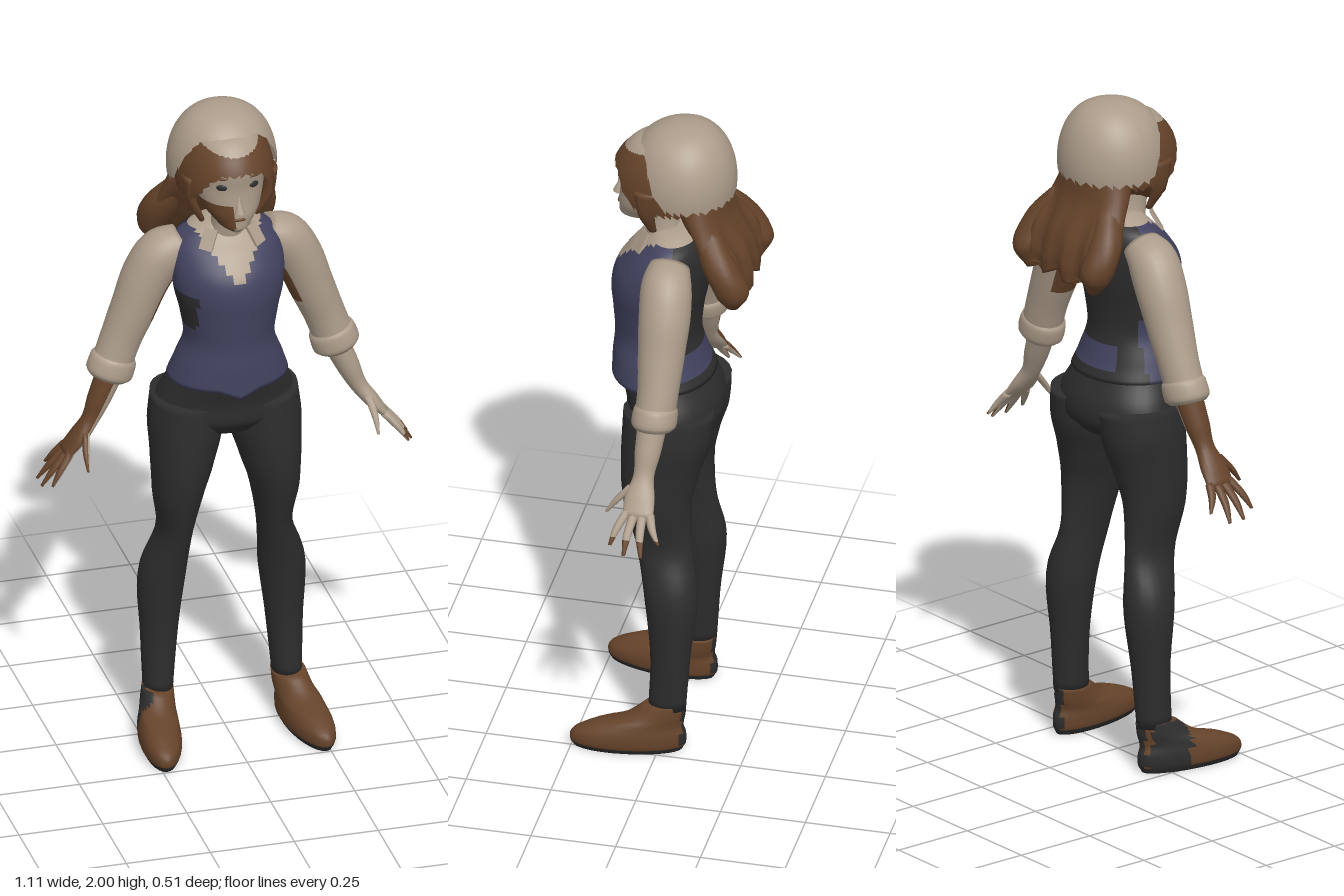
import * as THREE from 'three';

const mat = (name, color, side = THREE.FrontSide) => {
  const m = new THREE.MeshStandardMaterial({ color, side });
  m.name = name;
  return m;
};

export function createModel() {
  const tan = mat('tan', 0xad9d8b, THREE.DoubleSide);
  const brown = mat('brown', 0x65432a, THREE.DoubleSide);
  const navy = mat('navy', 0x42425f);
  const charcoal = mat('charcoal', 0x2d2d2e);
  const MATS = [tan, brown, navy, charcoal];
  const TAN = 0, BROWN = 1, NAVY = 2, CHAR = 3;
  const model = new THREE.Group();
  model.name = 'figure';

  const add = (name, geometry, material, parent = model) => {
    const m = new THREE.Mesh(geometry, material);
    m.name = name;
    parent.add(m);
    return m;
  };

  // Skin through elliptical sections [x, y, z, radius across, radius in z].
  // paint is a material index, or a rule (centre, cos of angle) => index.
  function loft(name, keys, paint, { rows = 24, cols = 24, parent = model, warp, side = 1 } = {}) {
    const path = new THREE.CatmullRomCurve3(keys.map(k => new THREE.Vector3(k[0] * side, k[1], k[2])), false, 'centripetal');
    const size = new THREE.CatmullRomCurve3(keys.map((k, i) => new THREE.Vector3(k[3], k[4], i * 0.05)), false, 'catmullrom', 0.4);
    const pts = [];
    for (let i = 0; i <= rows; i++) {
      const c = path.getPoint(i / rows), t = path.getTangent(i / rows), r = size.getPoint(i / rows);
      const u = new THREE.Vector3(t.y, -t.x, 0).normalize();
      for (let j = 0; j < cols; j++) {
        const a = (j / cols) * Math.PI * 2;
        const p = c.clone().addScaledVector(u, Math.cos(a) * r.x);
        p.z += Math.sin(a) * r.y;
        pts.push(p);
      }
    }
    const ends = [path.getPoint(0), path.getPoint(1)];
    pts.push(...ends);
    if (warp) pts.forEach(warp);
    const buckets = MATS.map(() => []);
    const face = (ids, j) => {
      const c = new THREE.Vector3();
      ids.forEach(i => c.addScaledVector(pts[i], 1 / ids.length));
      const k = typeof paint === 'function' ? paint(c, Math.cos(((j + 0.5) / cols) * Math.PI * 2)) : paint;
      buckets[k].push(ids[0], ids[1], ids[2]);
      if (ids.length === 4) buckets[k].push(ids[0], ids[2], ids[3]);
    };
    const n = rows * cols, cap = pts.length - 2;
    for (let j = 0; j < cols; j++) {
      const k = (j + 1) % cols;
      for (let i = 0; i < rows; i++) {
        const a = i * cols, b = a + cols;
        face([a + j, b + j, b + k, a + k], j);
      }
      face([cap, j, k], j);
      face([cap + 1, n + k, n + j], j);
    }
    const g = new THREE.BufferGeometry().setFromPoints(pts);
    g.setIndex(buckets.flat());
    let start = 0;
    buckets.forEach((b, i) => { if (b.length) g.addGroup(start, b.length, i); start += b.length; });
    g.computeVertexNormals();
    return add(name, g, MATS, parent);
  }

  // Dome whose lower edge depends on the bearing (front = 1, back = -1).
  function dome(name, [y, z], [rx, ry, front, back], edge, material) {
    const g = new THREE.SphereGeometry(1, 48, 20), p = g.attributes.position, uv = g.attributes.uv;
    for (let i = 0; i < p.count; i++) {
      const a = Math.round(uv.getX(i) * 48) / 48 * Math.PI * 2, f = Math.sin(a);
      const phi = (1 - uv.getY(i)) * edge(f) * Math.PI / 180, r = Math.pow(Math.sin(phi), 0.8);
      p.setXYZ(i, -Math.cos(a) * rx * r, y + ry * Math.cos(phi), z + f * r * (f > 0 ? front : back));
    }
    g.computeVertexNormals();
    return add(name, g, material);
  }
  const step = (f, a, b) => THREE.MathUtils.smoothstep(f, a, b);

  // Head and neck
  loft('neck', [[0, 1.6, 0.02, 0.065, 0.06], [0, 1.66, 0.04, 0.048, 0.05], [0, 1.74, 0.05, 0.05, 0.05]], TAN, { rows: 8 });
  loft('head', [
    [0, 1.672, 0.125, 0.018, 0.025], [0, 1.69, 0.1, 0.048, 0.065], [0, 1.74, 0.06, 0.086, 0.105],
    [0, 1.8, 0.025, 0.105, 0.135], [0, 1.88, 0.02, 0.11, 0.145], [0, 1.94, 0.01, 0.085, 0.11], [0, 1.97, 0, 0.02, 0.03],
  ], c => (c.z < 0.03 || (c.x < -0.012 && c.y < 1.765 && c.y > 1.68) ? BROWN : TAN), { rows: 30, cols: 36 });
  const nose = add('nose', new THREE.ConeGeometry(0.016, 0.055, 8), tan);
  nose.position.set(0, 1.77, 0.165);
  nose.rotation.x = -0.15;
  const plate = (name, material, x, y, z, w, h, turn) => {
    const m = add(name, new THREE.SphereGeometry(1, 14, 8), material);
    m.position.set(x, y, z);
    m.scale.set(w, h, 0.0045);
    m.rotation.y = turn;
  };
  for (const s of [-1, 1]) {
    plate('eye', charcoal, 0.048 * s, 1.822, 0.148, 0.016, 0.01, 0.4 * s);
    plate('eyebrow', brown, 0.05 * s, 1.852, 0.151, 0.02, 0.004, 0.4 * s);
  }
  plate('mouth', brown, 0, 1.72, 0.165, 0.02, 0.005, 0);

  // Cap and hair
  dome('cap', [1.82, -0.03], [0.16, 0.18, 0.17, 0.147], f => 103 - 56 * step(f, 0.1, 0.85), tan);
  dome('fringe', [1.8, 0], [0.142, 0.163, 0.19, 0.14], f => 106 - 38 * step(f, 0.45, 0.98), brown);
  loft('backHair', [
    [0, 1.82, -0.07, 0.12, 0.08], [0, 1.73, -0.095, 0.148, 0.07], [0, 1.63, -0.155, 0.178, 0.06],
    [0, 1.56, -0.19, 0.18, 0.042], [0, 1.51, -0.21, 0.15, 0.02],
  ], BROWN, {
    cols: 48,
    warp: p => { const w = step(1.78 - p.y, 0, 0.2); p.z += 0.009 * w * Math.cos(p.x * 75); p.y += 0.012 * w * Math.cos(p.x * 50); },
  });
  for (const s of [-1, 1]) {
    loft('curl', [[0.1, 1.72, -0.11, 0.03, 0.04], [0.145, 1.62, -0.165, 0.052, 0.055], [0.155, 1.55, -0.2, 0.046, 0.052], [0.14, 1.49, -0.2, 0.015, 0.02]],
      BROWN, { rows: 14, cols: 14, side: s });
    loft('sideLock', [[0.125, 1.83, 0.055, 0.016, 0.04], [0.115, 1.75, 0.06, 0.015, 0.025], [0.08, 1.675, 0.05, 0.008, 0.012]],
      BROWN, { rows: 10, cols: 10, side: s });
  }

  // Torso: shirt showing in the neckline, vest front, dark vest back
  loft('vest', [
    [0, 1.17, 0.033, 0.177, 0.15], [0, 1.22, 0.043, 0.16, 0.138], [0, 1.3, 0.05, 0.132, 0.125],
    [0, 1.38, 0.05, 0.142, 0.13], [0, 1.46, 0.045, 0.16, 0.14], [0, 1.52, 0.035, 0.165, 0.137],
    [0, 1.58, 0.015, 0.16, 0.115], [0, 1.62, 0, 0.138, 0.088], [0, 1.65, 0, 0.085, 0.06], [0, 1.66, 0, 0.05, 0.04],
  ], c => {
    if (c.y > 1.64 || (c.z > 0.03 && Math.abs(c.x) < (c.y - 1.5) * 0.72)) return TAN;
    if (c.z < -0.015) return c.y > 1.2 && c.y < 1.265 && c.x > -0.08 ? NAVY : CHAR;
    return c.x < -0.115 && c.y > 1.36 && c.y < 1.47 ? CHAR : NAVY;
  }, {
    rows: 44, cols: 56,
    warp: p => { if (p.y < 1.2 && p.z > 0.1) p.y -= 0.025 * Math.max(0, 1 - Math.abs(p.x) / 0.06); },
  });
  for (const s of [-1, 1]) {
    const collar = add('collar', new THREE.BoxGeometry(0.04, 0.065, 0.009), tan);
    collar.position.set(0.07 * s, 1.625, 0.085);
    collar.rotation.set(-0.6, 0.5 * s, 0.45 * s);
  }

  // Trousers
  loft('hips', [
    [0, 1.22, 0.04, 0.15, 0.122], [0, 1.17, 0.025, 0.17, 0.13], [0, 1.1, 0, 0.2, 0.137],
    [0, 1.04, -0.003, 0.212, 0.135], [0, 0.995, 0, 0.16, 0.1],
  ], CHAR, { cols: 36 });

  for (const s of [-1, 1]) {
    const leg = new THREE.Group(), arm = new THREE.Group();
    leg.name = s > 0 ? 'leftLeg' : 'rightLeg';
    arm.name = s > 0 ? 'leftArm' : 'rightArm';
    model.add(leg, arm);

    loft('trouserLeg', [
      [0.11, 1.09, -0.005, 0.105, 0.132], [0.117, 1.0, 0, 0.108, 0.13], [0.13, 0.9, 0.015, 0.092, 0.115],
      [0.143, 0.8, 0.02, 0.074, 0.1], [0.149, 0.65, -0.002, 0.05, 0.083], [0.178, 0.5, -0.028, 0.068, 0.078],
      [0.187, 0.3, -0.028, 0.053, 0.058], [0.192, 0.135, -0.02, 0.043, 0.055],
    ], CHAR, { rows: 36, parent: leg, side: s });

    // Shoe, toes turned slightly out
    loft('shoe', [
      [0.205, 0, 0.09, 0.05, 0.155], [0.205, 0.022, 0.09, 0.061, 0.166], [0.205, 0.05, 0.085, 0.062, 0.162],
      [0.203, 0.08, 0.06, 0.057, 0.128], [0.2, 0.105, 0.015, 0.052, 0.087], [0.196, 0.147, -0.015, 0.047, 0.06],
    ], c => (c.y < 0.014 || c.z < -0.065 || (s < 0 && c.x < -0.225 && c.z < 0.06) ? CHAR : BROWN),
    { rows: 20, cols: 28, parent: leg, side: s, warp: p => { p.x += 0.13 * p.z * s; } });

    // Sleeve with a rolled cuff
    const inner = a => a * s;
    loft('sleeve', [
      [0.12, 1.585, -0.01, 0.05, 0.06], [0.18, 1.55, -0.015, 0.072, 0.074], [0.225, 1.48, -0.02, 0.072, 0.075],
      [0.265, 1.38, -0.02, 0.066, 0.068], [0.305, 1.28, -0.02, 0.06, 0.06], [0.337, 1.19, -0.015, 0.06, 0.058],
    ], (c, a) => (inner(a) > 0.75 && c.y > 1.34 && c.y < 1.48 ? BROWN : TAN), { parent: arm, side: s });
    loft('cuff', [[0.319, 1.24, -0.017, 0.056, 0.056], [0.324, 1.225, -0.017, 0.068, 0.064], [0.338, 1.185, -0.015, 0.07, 0.065], [0.343, 1.17, -0.015, 0.056, 0.052]],
      TAN, { rows: 10, parent: arm, side: s });

    // Forearm and hand; the right one is brown on its outer side
    const skin = (c, a) => (s < 0 ? inner(a) < 0.1 : inner(a) < 0.2 && c.y < 0.9) ? BROWN : TAN;
    loft('forearmAndPalm', [
      [0.33, 1.2, -0.012, 0.04, 0.044], [0.37, 1.11, -0.005, 0.034, 0.038], [0.4, 1.045, 0, 0.025, 0.03],
      [0.437, 0.995, 0.003, 0.022, 0.044], [0.475, 0.95, 0, 0.013, 0.045],
    ], skin, { rows: 18, cols: 18, parent: arm, side: s });
    const fingers = [
      [0.467, 0.96, 0.034, 0.53, 0.88, 0.07], [0.47, 0.957, 0.012, 0.55, 0.862, 0.025],
      [0.47, 0.957, -0.012, 0.55, 0.862, -0.025], [0.465, 0.96, -0.033, 0.515, 0.89, -0.068],
      [0.42, 1.02, 0.03, 0.432, 0.93, 0.102],
    ];
    fingers.forEach(([x, y, z, X, Y, Z], i) => loft(i < 4 ? 'finger' : 'thumb',
      [[x, y, z, 0.012, 0.014], [(x + X) / 2 + 0.004, (y + Y) / 2, (z + Z) / 2 + 0.004, 0.01, 0.012], [X, Y, Z, 0.004, 0.005]],
      skin, { rows: 8, cols: 10, parent: arm, side: s }));
  }
  return model;
}
